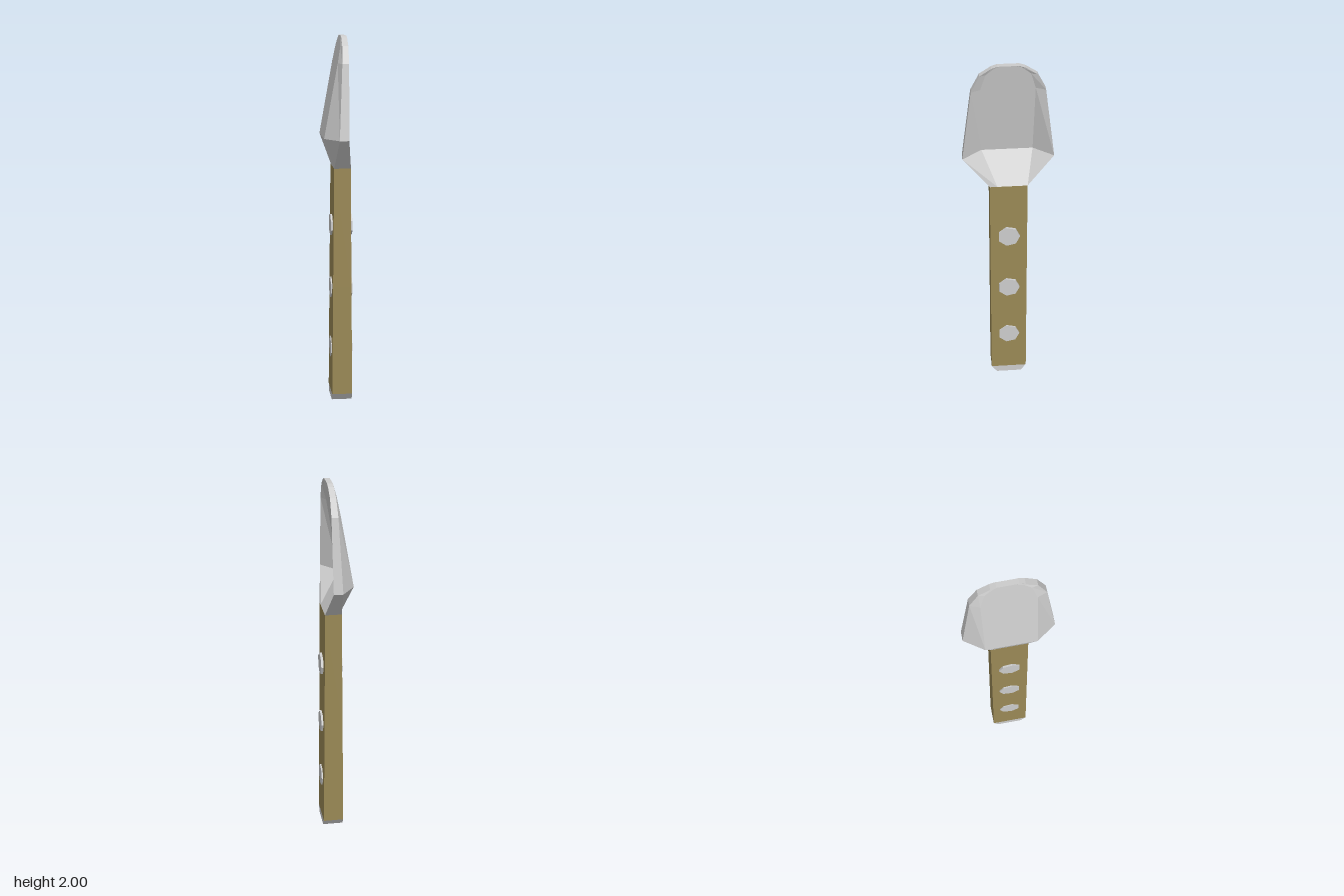
import * as THREE from 'three';

const metal = new THREE.MeshStandardMaterial({ color: 0xcccccc, flatShading: true });
const wood = new THREE.MeshStandardMaterial({ color: 0x998855, flatShading: true });

// Joins rings of [x, y, z] points from bottom to top; caps lists the quads closing both ends.
function loft(rings, caps) {
  const out = [];
  const quad = (a, b, c, d) => out.push(...a, ...b, ...c, ...a, ...c, ...d);
  const n = rings[0].length;
  for (let r = 0; r < rings.length - 1; r++) {
    for (let i = 0; i < n; i++) {
      const j = (i + 1) % n;
      quad(rings[r][i], rings[r + 1][i], rings[r + 1][j], rings[r][j]);
    }
  }
  const low = rings[0], top = rings[rings.length - 1];
  for (const [a, b, c, d] of caps) {
    quad(low[a], low[b], low[c], low[d]);
    quad(top[d], top[c], top[b], top[a]);
  }
  const geo = new THREE.BufferGeometry();
  geo.setAttribute('position', new THREE.Float32BufferAttribute(out, 3));
  geo.computeVertexNormals();
  return geo;
}

// Rectangular handle section
const rect = (y, x0, x1, w) => [[x1, y, w], [x0, y, w], [x0, y, -w], [x1, y, -w]];

// Scoop section: thick rim edges, bulged back, hollow front
const scoop = (y, w, k, front, rim, back, hollow) => [
  [front, y, w], [rim, y, w], [back, y, k], [back, y, -k],
  [rim, y, -w], [front, y, -w], [hollow, y, -k], [hollow, y, k],
];

export function createModel() {
  const group = new THREE.Group();
  const add = (name, geo, mat) => {
    const mesh = new THREE.Mesh(geo, mat);
    mesh.name = name;
    group.add(mesh);
    return mesh;
  };

  // Wooden handle, slightly thicker towards the bottom
  add('handle', loft([
    rect(0.04, -0.036, 0.075, 0.1),
    rect(0.65, -0.031, 0.069, 0.1),
    rect(1.3, -0.025, 0.065, 0.1),
  ], [[0, 1, 2, 3]]), wood);

  // Chamfered metal end cap
  add('endCap', loft([
    rect(0, -0.036, 0.075, 0.07),
    rect(0.04, -0.036, 0.075, 0.1),
  ], [[0, 1, 2, 3]]), metal);

  // Blade: neck ring, then the widest ring, tapering to the rounded tip
  const rings = [scoop(1.3, 0.1, 0.06, 0.065, -0.025, -0.025, 0.065)];
  const outline = [[1.465, 0.24, 0.135], [1.86, 0.19, 0.14], [1.95, 0.145, 0.115], [1.99, 0.085, 0.07], [2, 0.055, 0.04]];
  for (const [y, w, k] of outline) {
    const t = (y - 1.465) / 0.535;
    const mix = (a, b) => THREE.MathUtils.lerp(a, b, t);
    rings.push(scoop(y, w, k, mix(0.04, 0.045), mix(-0.01, 0.015), mix(-0.082, 0.015), mix(-0.045, 0.044)));
  }
  add('blade', loft(rings, [[0, 1, 2, 7], [7, 2, 3, 6], [6, 3, 4, 5]]), metal);

  // Rivets passing through the handle
  const rivet = new THREE.CylinderGeometry(0.06, 0.06, 0.118, 7, 1, false, Math.PI);
  rivet.rotateZ(Math.PI / 2);
  for (const y of [0.29, 0.63, 0.98]) {
    add('rivet', rivet, metal).position.set(0.021, y, 0);
  }
  return group;
}
